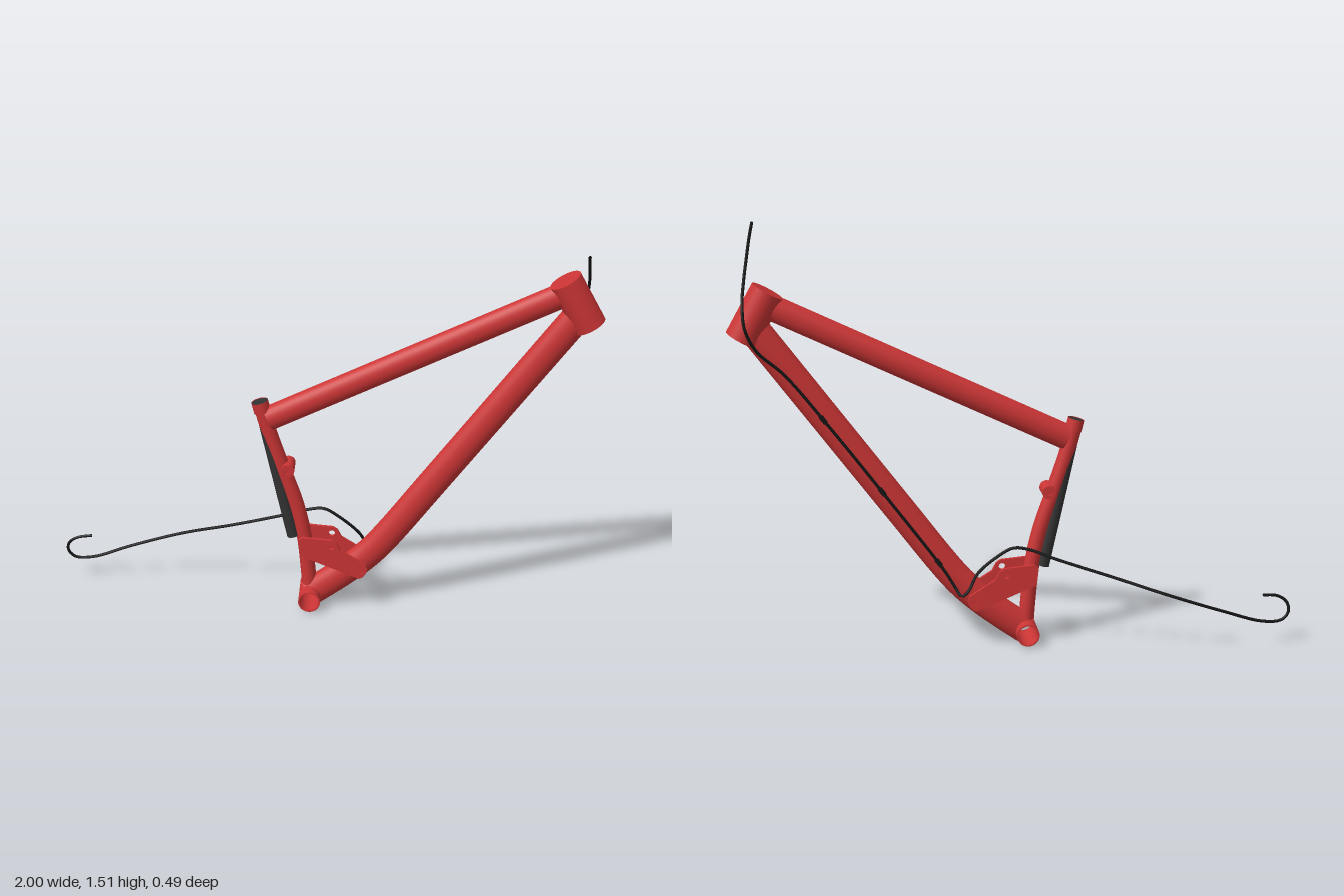
import * as THREE from 'three';

const Z = -0.075; // centre plane of the frame
const V = (x, y, z = Z) => new THREE.Vector3(x, y, z);

// Loft of elliptical rings along a curve lying in the frame plane.
// shell: optional {x, y, r} round shell against which the first ring is coped.
function frameTube(points, rn, rz, { segs = 24, sides = 28, shell = null, cap = false } = {}) {
  const curve = points.length === 2
    ? new THREE.LineCurve3(points[0], points[1])
    : new THREE.CatmullRomCurve3(points, false, 'centripetal');
  const pos = [], idx = [];
  for (let i = 0; i <= segs; i++) {
    const p = curve.getPointAt(i / segs), t = curve.getTangentAt(i / segs);
    for (let j = 0; j < sides; j++) {
      const a = (j / sides) * Math.PI * 2;
      const n = Math.cos(a) * rn;
      let x = p.x - t.y * n, y = p.y + t.x * n;
      if (shell) {
        const dx = x - shell.x, dy = y - shell.y;
        const along = dx * t.x + dy * t.y, off = -dx * t.y + dy * t.x;
        const push = Math.sqrt(Math.max(0, shell.r ** 2 - off ** 2)) - along;
        if (push > 0 && Math.hypot(dx, dy) < shell.r) { x += t.x * push; y += t.y * push; }
      }
      pos.push(x, y, p.z + Math.sin(a) * rz);
      if (i < segs) {
        const k = (j + 1) % sides, q = i * sides, r = q + sides;
        idx.push(q + j, r + j, q + k, r + j, r + k, q + k);
      }
    }
  }
  if (cap) {
    const e = curve.getPointAt(1), first = segs * sides, c = pos.length / 3;
    pos.push(e.x, e.y, e.z);
    for (let j = 0; j < sides; j++) idx.push(first + j, c, first + ((j + 1) % sides));
  }
  const g = new THREE.BufferGeometry();
  g.setAttribute('position', new THREE.Float32BufferAttribute(pos, 3));
  g.setIndex(idx);
  g.computeVertexNormals();
  return g;
}

export function createModel() {
  const model = new THREE.Group();
  model.name = 'bicycleFrame';
  const mat = (name, color) => new THREE.MeshStandardMaterial({ name, color, side: THREE.DoubleSide });
  const red = mat('frameRed', 0xcc3535);
  const dark = mat('innerTubeGrey', 0x333333);
  const black = mat('cableBlack', 0x151515);

  const add = (name, geometry, material = red) => {
    const m = new THREE.Mesh(geometry, material);
    m.name = name;
    model.add(m);
    return m;
  };
  // Cylinder between two points
  const rod = (name, a, b, r, material = red, open = false) => {
    const d = b.clone().sub(a);
    const m = add(name, new THREE.CylinderGeometry(r, r, d.length(), 32, 1, open), material);
    m.position.copy(a).add(b).multiplyScalar(0.5);
    m.quaternion.setFromUnitVectors(V(0, 1, 0), d.normalize());
    return m;
  };

  // Head tube
  rod('headTube', V(0.945, 1.15), V(0.85, 1.32), 0.06);

  // Top tube and bent down tube
  add('topTube', frameTube([V(-0.2, 0.768), V(0.868, 1.276)], 0.046, 0.037, { segs: 2, cap: true }));
  const shell = { x: -0.05, y: 0.052, r: 0.0385 };
  add('downTube', frameTube(
    [V(-0.05, 0.052), V(0.04, 0.116), V(0.125, 0.183), V(0.19, 0.245), V(0.25, 0.317), V(0.4, 0.517), V(0.895, 1.178)],
    0.055, 0.041, { segs: 48, shell }));

  // Seat tube: curved red tube in front of a straight inner sleeve
  add('seatTube', frameTube(
    [V(-0.05, 0.054), V(-0.058, 0.16), V(-0.073, 0.3), V(-0.102, 0.43), V(-0.152, 0.575), V(-0.2, 0.72), V(-0.226, 0.815)],
    0.028, 0.029, { segs: 40, shell }));
  rod('innerSleeve', V(-0.112, 0.293), V(-0.231, 0.832), 0.024, dark);
  rod('seatCollar', V(-0.222, 0.795), V(-0.232, 0.836), 0.031, red, true);
  rod('collarMouth', V(-0.23, 0.828), V(-0.2315, 0.834), 0.03, dark);

  // Bottom bracket shell, hollow right through
  const ring = (r, hole, len) => {
    const s = new THREE.Shape().absarc(0, 0, r, 0, Math.PI * 2);
    s.holes.push(new THREE.Path().absarc(0, 0, hole, 0, Math.PI * 2, true));
    return new THREE.ExtrudeGeometry(s, { depth: len, bevelEnabled: false, curveSegments: 32 })
      .translate(0, 0, -len / 2);
  };
  add('bottomBracketShell', ring(0.041, 0.036, 0.166)).position.set(-0.05, 0.052, Z);

  // Shock mount boss on the seat tube
  add('shockBoss', ring(0.025, 0.012, 0.084)).position.set(-0.13, 0.575, Z);
  rod('shockBossCore', V(-0.13, 0.575, Z - 0.036), V(-0.13, 0.575, Z + 0.036), 0.013);

  // Mirrored pivot plates with bolt holes
  const plate = new THREE.Shape([
    [-0.09, 0.3], [-0.075, 0.312], [0.035, 0.302], [0.052, 0.29], [0.066, 0.262], [0.16, 0.202],
    [0.167, 0.185], [0.152, 0.153], [0.136, 0.145], [-0.083, 0.236],
  ].map(([x, y]) => new THREE.Vector2(x, y)));
  for (const [x, y, r] of [[0.03, 0.277, 0.012], [0.142, 0.177, 0.01]]) {
    plate.holes.push(new THREE.Path().absarc(x, y, r, 0, Math.PI * 2, true));
  }
  const plateGeo = new THREE.ExtrudeGeometry(plate, { depth: 0.012, bevelEnabled: false, curveSegments: 16 });
  for (const [side, z] of [['left', Z + 0.05], ['right', Z - 0.062]]) {
    add(side + 'PivotPlate', plateGeo).position.z = z;
  }
  rod('frontPivot', V(0.142, 0.177, Z - 0.057), V(0.142, 0.177, Z + 0.057), 0.023);
  rod('rearPivot', V(-0.068, 0.272, Z - 0.052), V(-0.068, 0.272, Z + 0.052), 0.02);

  // Cable: rear hook, run along the side of the down tube, loop past the head tube
  const cablePath = new THREE.CatmullRomCurve3([
    V(-0.9, 0.195, -0.222), V(-0.955, 0.188, -0.217), V(-0.988, 0.165, -0.22), V(-0.995, 0.13, -0.226),
    V(-0.97, 0.1, -0.228), V(-0.9, 0.098, -0.232), V(-0.75, 0.145, -0.242), V(-0.55, 0.21, -0.23),
    V(-0.35, 0.273, -0.185), V(-0.15, 0.337, -0.152), V(-0.06, 0.37, -0.136), V(0, 0.378, -0.13),
    V(0.05, 0.352, -0.126), V(0.13, 0.285, -0.125), V(0.165, 0.225, -0.14), V(0.19, 0.208, -0.148),
    V(0.21, 0.235, -0.133), V(0.25, 0.3, -0.121), V(0.45, 0.575, -0.12), V(0.65, 0.842, -0.12),
    V(0.8, 1.03, -0.12), V(0.895, 1.12, -0.133), V(0.932, 1.2, -0.147), V(0.938, 1.28, -0.122),
    V(0.932, 1.345, -0.05), V(0.92, 1.42, 0.05), V(0.91, 1.475, 0.145), V(0.9, 1.515, 0.245),
  ], false, 'centripetal');
  add('cable', new THREE.TubeGeometry(cablePath, 260, 0.0055, 8), black);

  // Clips holding the cable to the down tube
  for (const [x, y] of [[0.27, 0.33], [0.468, 0.6], [0.67, 0.868]]) {
    const clip = add('cableClip', new THREE.BoxGeometry(0.03, 0.016, 0.014), black);
    clip.position.set(x, y, -0.119);
    clip.rotation.z = 0.93;
  }
  return model;
}
